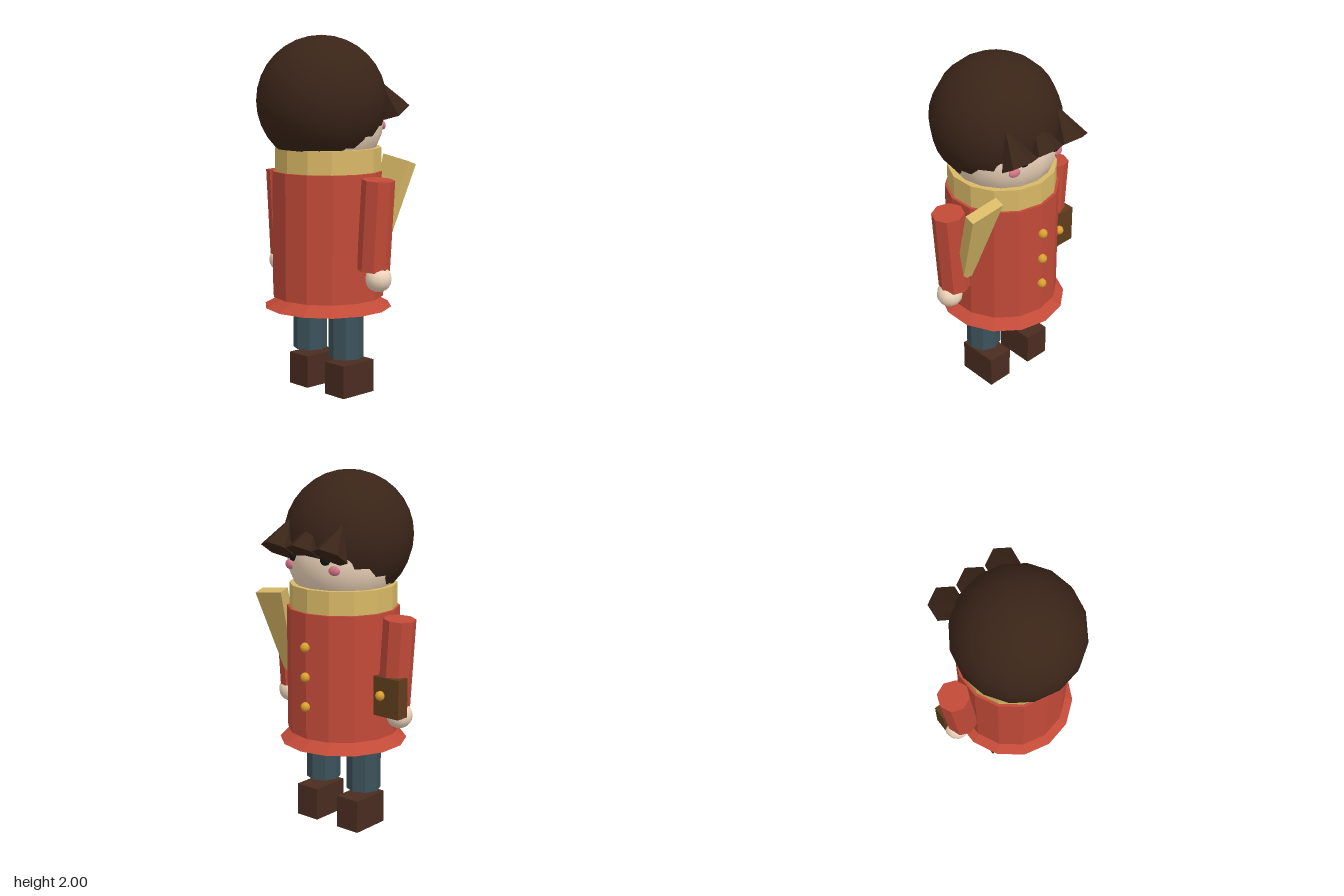
import * as THREE from 'three';

const flat = (color) => new THREE.MeshStandardMaterial({ color, flatShading: true });
const smooth = (color) => new THREE.MeshStandardMaterial({ color });

export function createModel() {
  const model = new THREE.Group();
  const red = flat(0xc24a38), gold = flat(0xd8b866), blue = flat(0x3c525a), boot = flat(0x4a2c20);
  const hairFlat = flat(0x3a2418), pouchBrown = flat(0x5f3c1c);
  const hair = smooth(0x3a2418), skin = smooth(0xf0d6bc), black = smooth(0x151515);
  const pink = smooth(0xd87888), brass = smooth(0xd8a030);

  function add(name, geometry, material, x, y, z) {
    const mesh = new THREE.Mesh(geometry, material);
    mesh.name = name;
    mesh.position.set(x, y, z);
    model.add(mesh);
    return mesh;
  }
  const ball = (r, w = 12, h = 10) => new THREE.SphereGeometry(r, w, h);

  // Coat, flared hem and collar
  add('coat', new THREE.CylinderGeometry(0.315, 0.315, 0.705, 14), red, 0, 0.9025, 0);
  add('coatHem', new THREE.CylinderGeometry(0.245, 0.36, 0.062, 14), red, 0, 0.519, 0);
  add('collar', new THREE.CylinderGeometry(0.3, 0.3, 0.13, 14), gold, 0, 1.32, 0);

  // Head sits low and forward inside the larger ball of hair
  add('head', ball(0.31, 16, 12), skin, 0, 1.54, 0);
  add('hair', ball(0.36, 16, 16), hair, 0, 1.64, 0.05);

  // Fringe of three tilted cones
  for (const x of [-0.185, 0, 0.185]) {
    const tuft = add('fringeTuft', new THREE.ConeGeometry(0.1, 0.2, 6), hairFlat, x, 1.667, -0.272);
    tuft.rotation.x = 0.58;
  }

  // Mirrored parts
  for (const s of [-1, 1]) {
    const side = s > 0 ? 'left' : 'right';
    add(side + 'Eye', ball(0.03), black, s * 0.112, 1.555, -0.277);
    const cheek = add(side + 'Cheek', ball(0.035), pink, s * 0.16, 1.5, -0.262);
    cheek.scale.set(1, 0.75, 0.45);
    cheek.rotation.y = -s * 0.2;

    const arm = add(side + 'Arm', new THREE.CylinderGeometry(0.09, 0.09, 0.495, 8), red, s * 0.38, 0.985, 0);
    arm.rotation.z = -s * 0.07;
    add(side + 'Hand', ball(0.073), skin, s * 0.402, 0.695, 0);

    add(side + 'Trouser', new THREE.CylinderGeometry(0.098, 0.098, 0.32, 8), blue, s * 0.15, 0.375, 0);
    add(side + 'Boot', new THREE.BoxGeometry(0.15, 0.185, 0.235), boot, s * 0.15, 0.0925, -0.027);
  }

  // Coat buttons
  for (const y of [0.735, 0.903, 1.07]) add('button', ball(0.027), brass, 0, y, -0.32);

  // Tapered scarf end, leaning outwards at the top
  const tail = new THREE.Shape([
    [0.235, 0.012], [0.3, -0.54], [0.37, -0.53], [0.44, -0.018],
  ].map(([x, y]) => new THREE.Vector2(x, y)));
  const scarf = add('scarfEnd', new THREE.ExtrudeGeometry(tail, { depth: 0.06, bevelEnabled: false }),
    gold, 0, 1.32, -0.252);
  scarf.rotation.x = -0.33;

  // Hip pouch with a round clasp
  add('pouch', new THREE.BoxGeometry(0.17, 0.22, 0.08), pouchBrown, -0.385, 0.81, -0.06);
  add('pouchClasp', ball(0.027), brass, -0.352, 0.818, -0.108);

  return model;
}
